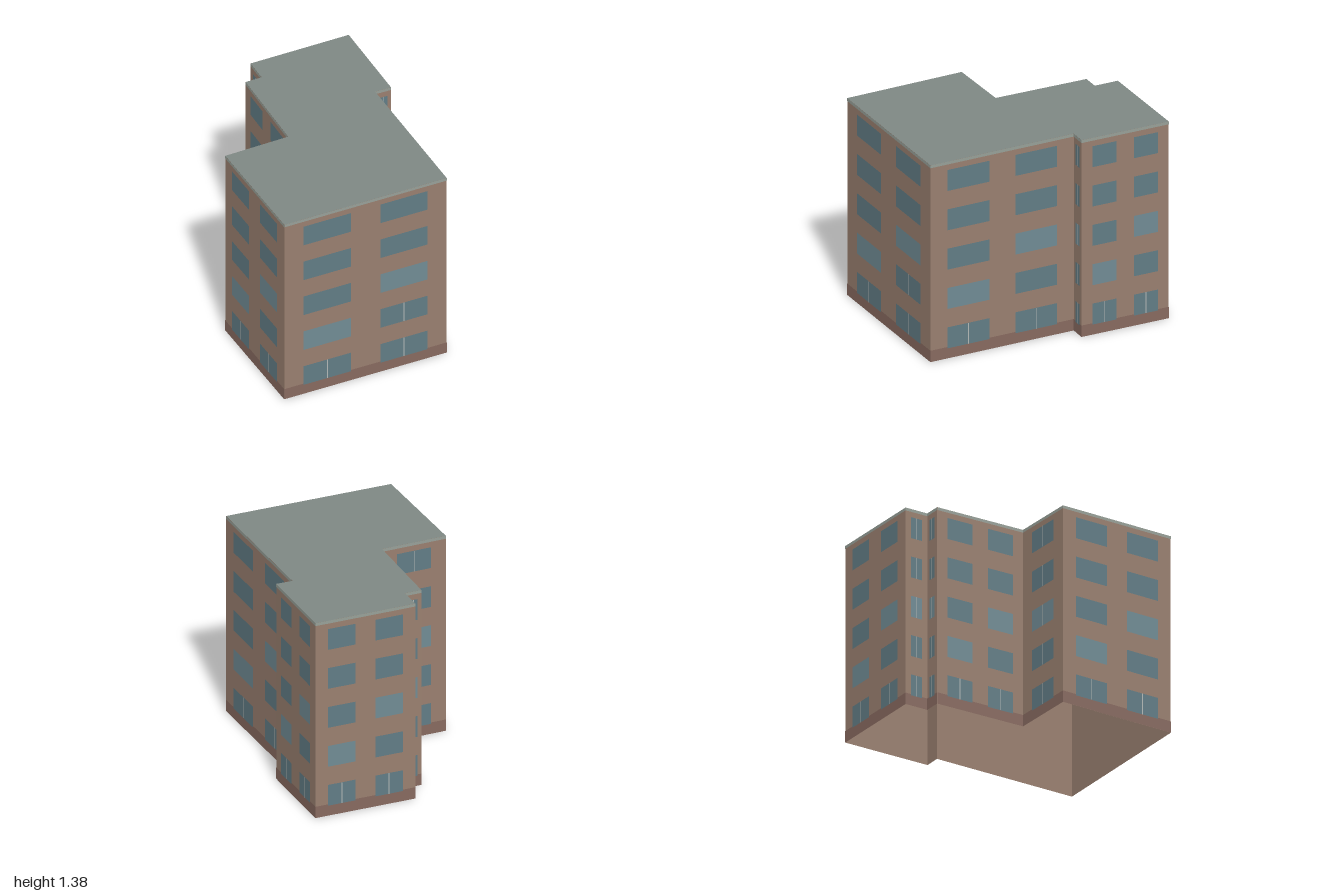
import * as THREE from 'three';

const HEIGHT = 1.38, CAP = 0.02, BASE = 0.08;
const FLOORS = 5, FLOOR_PITCH = 0.276, SILL = 0.071, WINDOW_H = 0.147;

// Footprint corners [x, z]; each starts a wall with a number of window columns
// and a window width given as a fraction of the wall length.
const WALLS = [
  [-0.375, 1.0, 2, 0.29],
  [0.693, 0.576, 2, 0.29],
  [0.307, -0.38, 1, 0.52],
  [0.411, -0.419, 2, 0.275],
  [0.184, -1.0, 2, 0.275],
  [-0.462, -0.74, 1, 0.52],
  [-0.402, -0.587, 1, 0.52],
  [-0.508, -0.544, 2, 0.29],
  [-0.281, 0.06, 1, 0.53],
  [-0.695, 0.235, 2, 0.29],
];

const paint = (color, side = THREE.FrontSide) => new THREE.MeshStandardMaterial({ color, side });
const MAT = {
  wall: paint(0x9a8070, THREE.DoubleSide),
  base: paint(0x886a60),
  cap: paint(0x98a199),
  roof: paint(0x7f8884, THREE.DoubleSide),
  glass: paint(0x627d86),
  paleGlass: paint(0x718c95),
  mullion: paint(0xb4bab8),
};

// Upright rectangle facing local +z, placed by its centre x and bottom y
function panel(name, material, width, height, x, y, z) {
  const mesh = new THREE.Mesh(new THREE.PlaneGeometry(width, height), material);
  mesh.name = name;
  mesh.position.set(x, y + height / 2, z);
  return mesh;
}

// One facade: local x runs along the wall, local z points outwards
function buildWall(index) {
  const [x0, z0, columns, fraction] = WALLS[index];
  const [x1, z1] = WALLS[(index + 1) % WALLS.length];
  const length = Math.hypot(x1 - x0, z1 - z0);
  const wall = new THREE.Group();
  wall.name = 'facade' + (index + 1);
  wall.position.set((x0 + x1) / 2, 0, (z0 + z1) / 2);
  wall.rotation.y = Math.atan2(z0 - z1, x1 - x0);

  wall.add(panel('wall', MAT.wall, length, HEIGHT, 0, 0, 0));
  wall.add(panel('plinth', MAT.base, length, BASE, 0, 0, 0.001));
  wall.add(panel('roofEdge', MAT.cap, length, CAP, 0, HEIGHT - CAP, 0.001));

  const single = columns === 1;
  const width = length * fraction;
  for (let c = 0; c < columns; c++) {
    const x = single ? 0 : (c - 0.5) * length * 0.472;
    for (let f = 0; f < FLOORS; f++) {
      const y = SILL + f * FLOOR_PITCH;
      const pale = f === (single ? 2 : c + 1);
      wall.add(panel('window', pale ? MAT.paleGlass : MAT.glass, width, WINDOW_H, x, y, 0.002));
      // Divided panes on the ground floor, narrow walls and one front window
      if (single || f === 0 || (index === 0 && c === 1 && f === 1)) {
        wall.add(panel('mullion', MAT.mullion, 0.006, WINDOW_H, x, y, 0.003));
      }
    }
  }
  return wall;
}

export function createModel() {
  const model = new THREE.Group();
  model.name = 'apartmentBlock';
  WALLS.forEach((_, i) => model.add(buildWall(i)));

  // Flat roof over the footprint; the underside stays open
  const outline = new THREE.Shape(WALLS.map(([x, z]) => new THREE.Vector2(x, -z)));
  const roof = new THREE.Mesh(new THREE.ShapeGeometry(outline).rotateX(-Math.PI / 2), MAT.roof);
  roof.name = 'roof';
  roof.position.y = HEIGHT;
  model.add(roof);
  return model;
}
